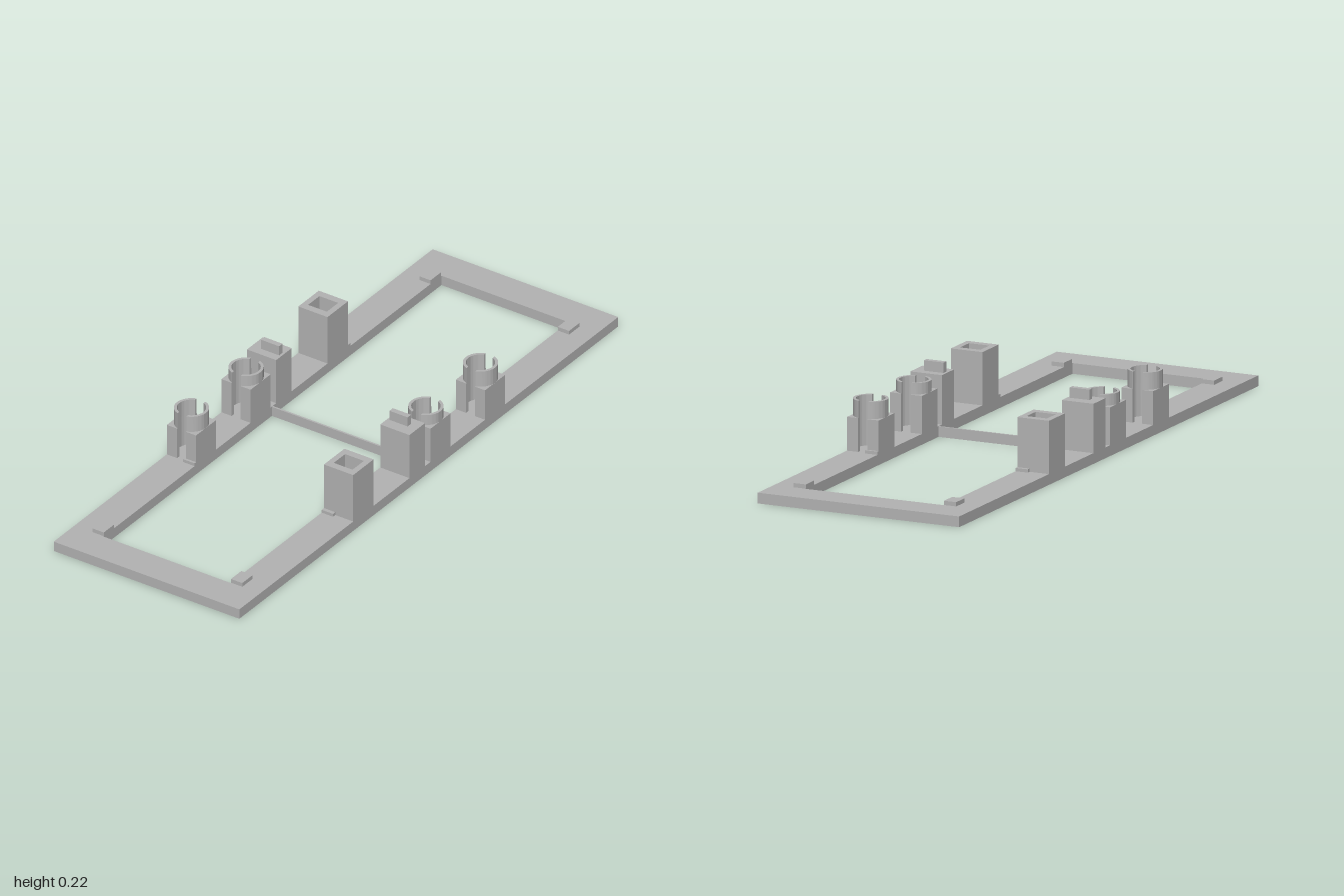
import * as THREE from 'three';
import { toCreasedNormals } from 'three/addons/utils/BufferGeometryUtils.js';

const grey = new THREE.MeshStandardMaterial({ color: 0xb3b3b3 });
grey.name = 'grey plastic';

const BASE = 0.033; // frame thickness
const RAIL = 0.284; // centre line of each side rail
const R = 0.053; // half width of the posts
const BORE = 0.044;
const SLOT = 0.016; // half width of the slot through a clip

function add(parent, name, geometry) {
  const mesh = new THREE.Mesh(geometry, grey);
  mesh.name = name;
  parent.add(mesh);
  return mesh;
}

// Box given by its limits
function box(parent, name, x0, x1, y0, y1, z0, z1) {
  const mesh = add(parent, name, new THREE.BoxGeometry(x1 - x0, y1 - y0, z1 - z0));
  mesh.position.set((x0 + x1) / 2, (y0 + y1) / 2, (z0 + z1) / 2);
  return mesh;
}

// Plan outline raised from y0 to y1
function raise(shape, y0, y1) {
  const g = new THREE.ExtrudeGeometry(shape, { depth: y1 - y0, bevelEnabled: false, curveSegments: 24 });
  g.rotateX(-Math.PI / 2);
  g.translate(0, y0, 0);
  return toCreasedNormals(g, 0.5);
}

function rect(Type, hx, hy) {
  const s = new Type();
  s.moveTo(-hx, -hy);
  s.lineTo(hx, -hy);
  s.lineTo(hx, hy);
  s.lineTo(-hx, hy);
  s.closePath();
  return s;
}

// Rectangular plate with a rectangular opening
function openRect(hx, hy, ix, iy) {
  const s = rect(THREE.Shape, hx, hy);
  s.holes.push(rect(THREE.Path, ix, iy));
  return s;
}

// One side of a slotted, bored holder: square outside or round outside
function halfHolder(round) {
  const s = new THREE.Shape();
  const inner = Math.acos(SLOT / BORE);
  if (round) {
    const outer = Math.acos(SLOT / R);
    s.moveTo(SLOT, -R * Math.sin(outer));
    s.absarc(0, 0, R, -outer, outer, false);
  } else {
    s.moveTo(SLOT, -R);
    s.lineTo(R, -R);
    s.lineTo(R, R);
    s.lineTo(SLOT, R);
  }
  s.lineTo(SLOT, BORE * Math.sin(inner));
  s.absarc(0, 0, BORE, inner, -inner, true);
  s.closePath();
  return s;
}

// Split square post carrying a split round collar
function clip(parent, name, z, blockTop, ringTop) {
  const g = new THREE.Group();
  g.name = name;
  g.position.set(RAIL, 0, z);
  for (const turn of [0, Math.PI]) {
    add(g, 'clipPost', raise(halfHolder(false), BASE, blockTop)).rotation.y = turn;
    add(g, 'clipCollar', raise(halfHolder(true), blockTop, ringTop)).rotation.y = turn;
  }
  parent.add(g);
}

// Everything standing on one rail
function railParts(name) {
  const g = new THREE.Group();
  g.name = name;

  const tower = add(g, 'socketTower', raise(openRect(R, 0.054, 0.034, 0.03), BASE, 0.197));
  tower.position.set(RAIL, 0, 0.345);

  box(g, 'tabBlock', 0.231, 0.337, BASE, 0.185, 0.02, 0.102);
  box(g, 'tabBlade', 0.239, 0.305, 0.185, 0.217, 0.047, 0.065);

  clip(g, 'innerClip', -0.062, 0.15, 0.185);
  clip(g, 'outerClip', -0.35, 0.137, 0.19);

  // Small pads at the corners and poking out beside the posts
  for (const s of [-1, 1]) {
    const corner = [0.835 * s, 0.89 * s].sort((a, b) => a - b);
    const side = [0.398 * s, 0.411 * s].sort((a, b) => a - b);
    box(g, 'cornerPad', 0.231, 0.272, BASE, 0.046, ...corner);
    box(g, 'sidePad', 0.231, 0.272, BASE, 0.043, ...side);
  }
  return g;
}

export function createModel() {
  const model = new THREE.Group();
  model.name = 'mountingFrame';

  add(model, 'baseFrame', raise(openRect(0.337, 1, 0.231, 0.892), 0, BASE));
  box(model, 'crossStrip', -0.232, 0.232, 0, BASE - 0.001, -0.003, 0.003);

  // The two rails are the same, turned half way round
  const left = railParts('leftRail');
  const right = railParts('rightRail');
  right.rotation.y = Math.PI;
  model.add(left, right);
  return model;
}
